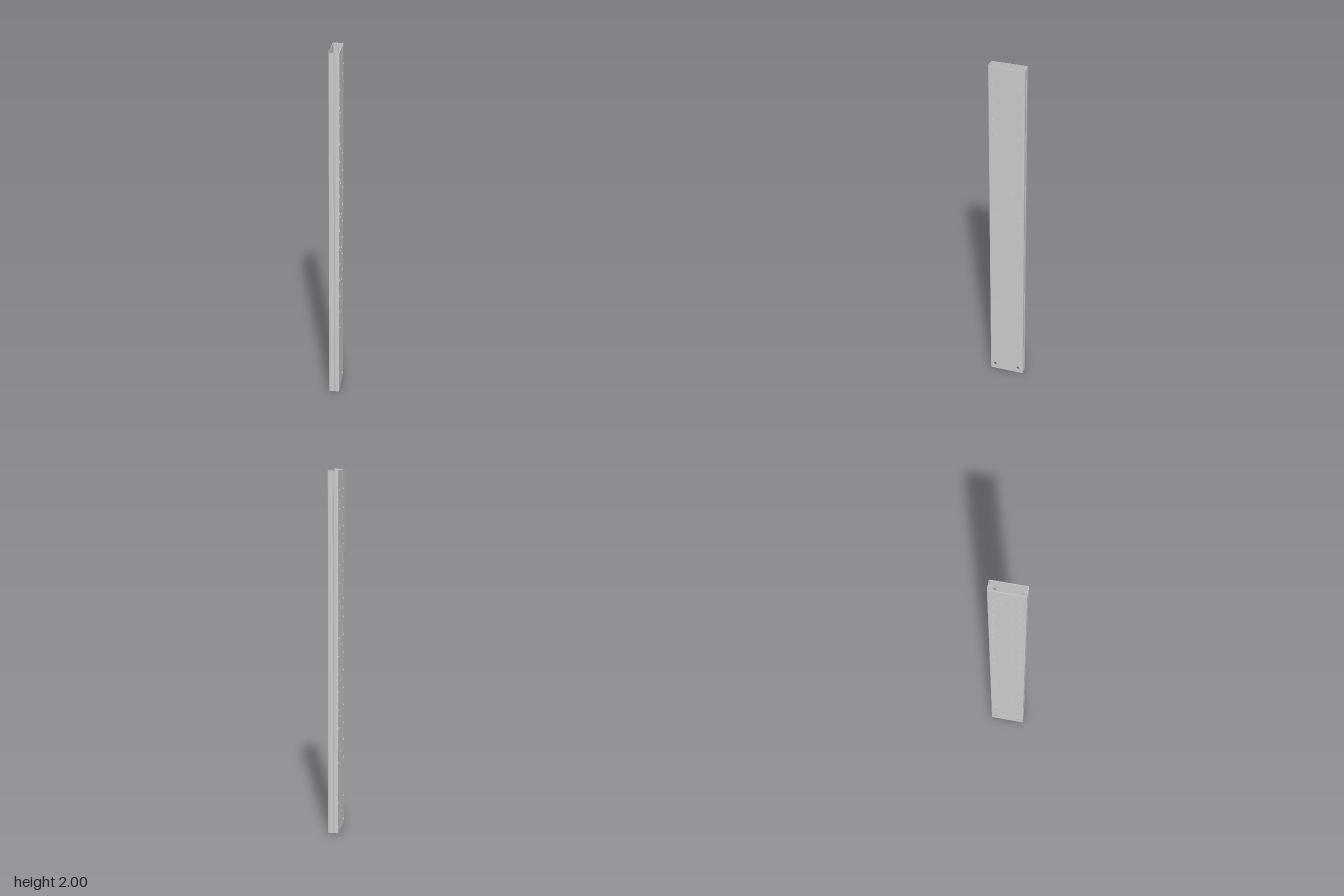
import * as THREE from 'three';
import { toCreasedNormals } from 'three/addons/utils/BufferGeometryUtils.js';

const H = 2;        // height
const W = 0.0286;   // width of one channel
const D = 0.098;    // half depth
const T = 0.0025;   // sheet thickness
const R = 0.005;    // outer bend radius
const LIP = 0.087;  // where the inturned lip ends

const material = new THREE.MeshStandardMaterial({ color: 0xcccccc, side: THREE.DoubleSide });

function part(name, geometry) {
  const mesh = new THREE.Mesh(toCreasedNormals(geometry, 0.6), material);
  mesh.name = name;
  return mesh;
}

// Points of a bend around (cx, cy) from angle a to b
function bend(cx, cy, r, a, b) {
  const pts = [];
  for (let i = 0; i <= 5; i++) {
    const t = a + (b - a) * i / 5;
    pts.push(new THREE.Vector2(cx + r * Math.cos(t), cy + r * Math.sin(t)));
  }
  return pts;
}

// Flat perforated web
function web() {
  const d = D - R;
  const shape = new THREE.Shape([[-d, 0], [d, 0], [d, H], [-d, H]].map(([x, y]) => new THREE.Vector2(x, y)));
  const hole = (z, y, r) => shape.holes.push(new THREE.Path().absarc(z, y, r, 0, Math.PI * 2, true));
  const pair = (z, y, r) => { hole(-z, y, r); hole(z, y, r); };

  pair(0.07, 0.034, 0.009);
  pair(0.07, 0.173, 0.009);
  hole(0, 0.102, 0.0075);
  for (let i = 0; i < 16; i++) pair(0.07, 0.4 + i * 0.1, 0.009);
  for (let i = 0; i < 8; i++) pair(0.027, 0.46 + i * 0.2, 0.0068);

  const geometry = new THREE.ExtrudeGeometry(shape, { depth: T, bevelEnabled: false, curveSegments: 8 });
  geometry.rotateY(Math.PI / 2).translate(W - T, 0, 0);
  return part('web', geometry);
}

// Bent flange with its lip, running the full height
function flange(side) {
  const c = D - R, q = Math.PI / 2;
  const pts = [
    ...bend(W - R, c, R, 0, q),
    ...bend(R, c, R, q, 2 * q),
    new THREE.Vector2(0, LIP),
    new THREE.Vector2(T, LIP),
    ...bend(R, c, R - T, 2 * q, q),
    ...bend(W - R, c, R - T, q, 0),
  ];
  const shape = new THREE.Shape(pts.map(p => new THREE.Vector2(p.x, -side * p.y)));
  const geometry = new THREE.ExtrudeGeometry(shape, { depth: H, bevelEnabled: false });
  geometry.rotateX(-Math.PI / 2);
  return part(side > 0 ? 'frontFlange' : 'backFlange', geometry);
}

export function createModel() {
  const model = new THREE.Group();
  model.name = 'doubleChannelPost';
  // Two lipped channels, lip to lip
  for (const name of ['leftChannel', 'rightChannel']) {
    const channel = new THREE.Group();
    channel.name = name;
    channel.add(web(), flange(1), flange(-1));
    if (name === 'rightChannel') channel.rotation.y = Math.PI;
    model.add(channel);
  }
  return model;
}
